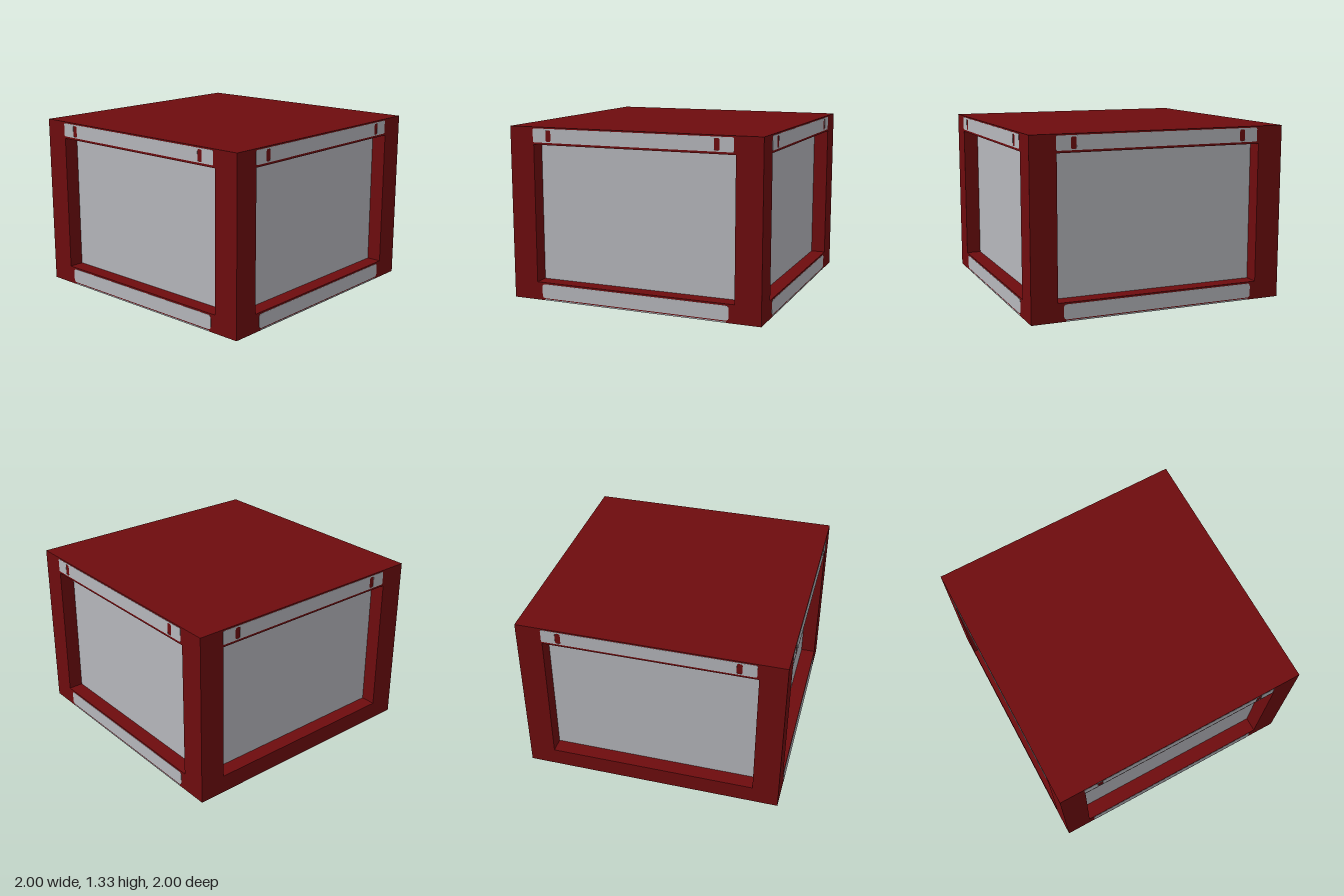
import * as THREE from 'three';

const H = 1.333, LOW = 0.14, HIGH = 1.2, POST = 0.2, DEPTH = 0.115;

const red = new THREE.MeshStandardMaterial({ color: 0x6e0c0e });
red.name = 'dark red';
const grey = new THREE.MeshStandardMaterial({ color: 0xb6b7bc });
grey.name = 'light grey';

// Outline of a rounded rectangle
function rounded(Type, x0, x1, y0, y1, r) {
  const s = new Type();
  s.moveTo(x0 + r, y0);
  s.lineTo(x1 - r, y0);
  s.quadraticCurveTo(x1, y0, x1, y0 + r);
  s.lineTo(x1, y1 - r);
  s.quadraticCurveTo(x1, y1, x1 - r, y1);
  s.lineTo(x0 + r, y1);
  s.quadraticCurveTo(x0, y1, x0, y1 - r);
  s.lineTo(x0, y0 + r);
  s.quadraticCurveTo(x0, y0, x0 + r, y0);
  return s;
}

function box(name, w, h, d, x, y, z, material) {
  const mesh = new THREE.Mesh(new THREE.BoxGeometry(w, h, d), material);
  mesh.name = name;
  mesh.position.set(x, y, z);
  return mesh;
}

// Thin plate lying on the front of the frame
function plate(name, shape) {
  const geometry = new THREE.ExtrudeGeometry(shape, { depth: 0.002, bevelEnabled: false, curveSegments: 4 });
  const mesh = new THREE.Mesh(geometry, grey);
  mesh.name = name;
  mesh.position.z = 1;
  return mesh;
}

export function createModel() {
  const model = new THREE.Group();
  model.name = 'framedBox';

  // Frame: two slabs joined by four corner posts
  model.add(box('baseSlab', 2, LOW, 2, 0, LOW / 2, 0, red));
  model.add(box('topSlab', 2, H - HIGH, 2, 0, (H + HIGH) / 2, 0, red));
  for (const x of [-1, 1]) {
    for (const z of [-1, 1]) {
      const p = 1 - POST / 2;
      model.add(box('cornerPost', POST, HIGH - LOW, POST, x * p, (LOW + HIGH) / 2, z * p, red));
    }
  }

  // Recessed panels on all four sides
  const core = 2 - 2 * DEPTH;
  model.add(box('recessedPanels', core, HIGH - LOW, core, 0, (LOW + HIGH) / 2, 0, grey));

  // Trim plates, repeated around the box
  ['front', 'left', 'back', 'right'].forEach((name, i) => {
    const side = new THREE.Group();
    side.name = name + 'Trim';
    side.rotation.y = i * Math.PI / 2;

    // Upper plate with two slots
    const upper = rounded(THREE.Shape, -0.805, 0.785, 1.217, 1.322, 0.012);
    for (const x of [-0.675, 0.66]) {
      upper.holes.push(rounded(THREE.Path, x - 0.021, x + 0.021, 1.224, 1.312, 0.015));
    }
    side.add(plate('upperPlate', upper));

    // Lower plate, absent on the right side
    if (name !== 'right') {
      side.add(plate('lowerPlate', rounded(THREE.Shape, -0.757, 0.757, 0.017, 0.127, 0.025)));
      side.add(plate('lowerLip', rounded(THREE.Shape, -0.74, 0.74, 0.001, 0.01, 0.002)));
    }
    model.add(side);
  });

  return model;
}
